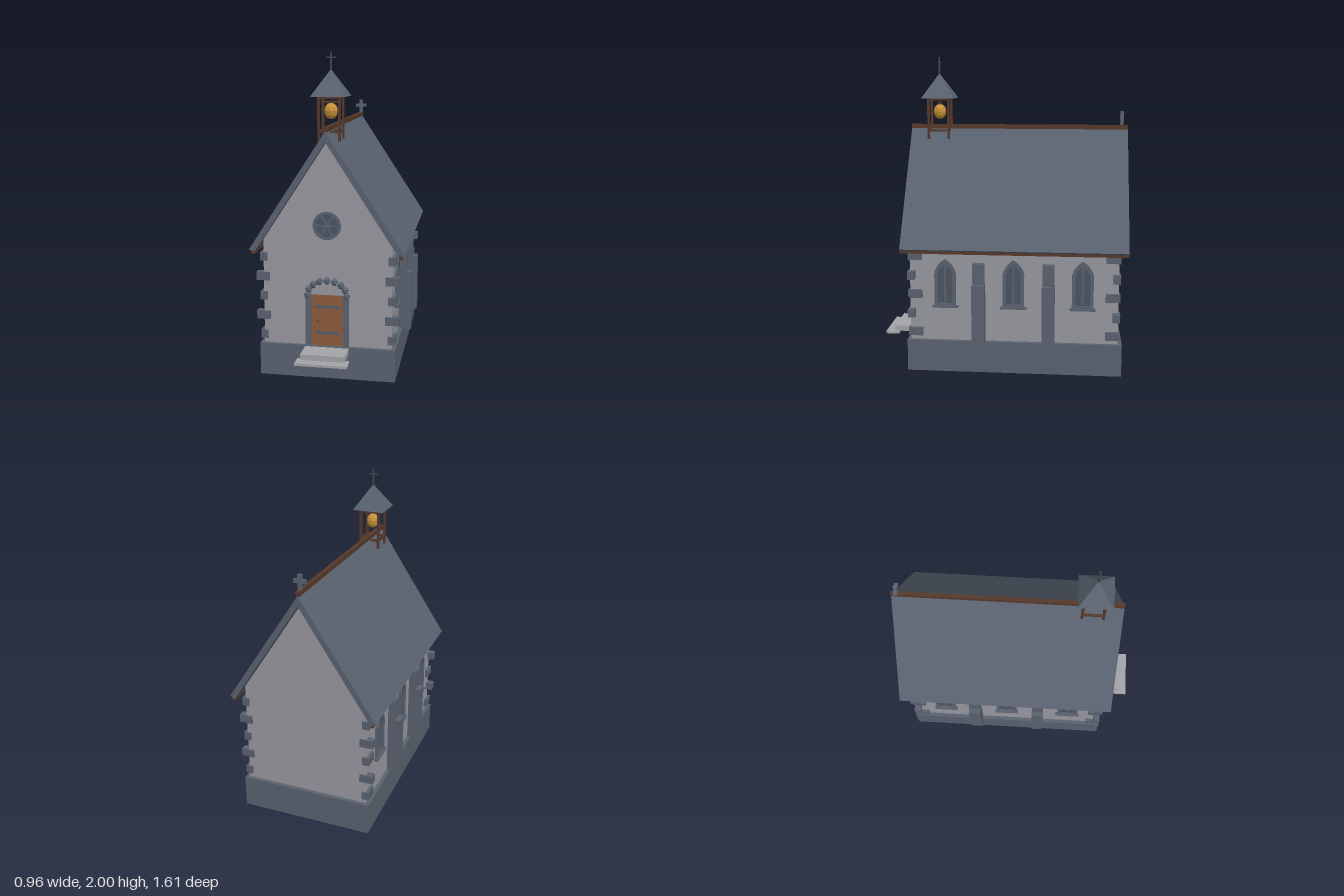
import * as THREE from 'three';

const mat = (name, color, flatShading = false) => {
  const m = new THREE.MeshStandardMaterial({ color, flatShading });
  m.name = name;
  return m;
};

export function createModel() {
  const model = new THREE.Group();
  model.name = 'chapel';

  const slate = mat('slate stone', 0x59626f, true);
  const plaster = mat('wall plaster', 0x97979f);
  const stepStone = mat('step stone', 0xa3a4a8);
  const glass = mat('window glass', 0x4a5361);
  const doorWood = mat('door wood', 0x8b5a3c);
  const darkWood = mat('dark wood', 0x57382b);
  const iron = mat('iron', 0x3f454e);
  const strap = mat('hinge iron', 0x555d6a);
  const gold = mat('bell gold', 0xc8923a, true);

  const add = (name, geo, material, x = 0, y = 0, z = 0, parent = model) => {
    const mesh = new THREE.Mesh(geo, material);
    mesh.name = name;
    mesh.position.set(x, y, z);
    parent.add(mesh);
    return mesh;
  };
  // Box given by its lower and upper limits on each axis
  const box = (name, material, x0, x1, y0, y1, z0, z1, parent = model) =>
    add(name, new THREE.BoxGeometry(x1 - x0, y1 - y0, z1 - z0), material,
      (x0 + x1) / 2, (y0 + y1) / 2, (z0 + z1) / 2, parent);
  const outline = (pts) => new THREE.Shape(pts.map(([x, y]) => new THREE.Vector2(x, y)));
  const extrude = (shape, depth) =>
    new THREE.ExtrudeGeometry(shape, { depth, bevelEnabled: false, curveSegments: 8 });

  // Plinth, gabled body and roof
  box('plinth', slate, -0.425, 0.425, 0, 0.205, -0.77, 0.6);
  add('walls', extrude(outline([[-0.4, 0.2], [0.4, 0.2], [0.4, 0.87], [0, 1.485], [-0.4, 0.87]]), 1.325),
    plaster, 0, 0, -0.745);
  add('roof', extrude(outline([[0, 1.538], [-0.478, 0.81], [-0.448, 0.79], [0, 1.474],
    [0.448, 0.79], [0.478, 0.81]]), 1.43), slate, 0, 0, -0.8);
  box('ridgeBeam', darkWood, -0.012, 0.012, 1.535, 1.563, -0.8, 0.63);
  for (const s of [-1, 1]) {
    box('eaveBoard', darkWood, s * 0.453 - 0.009, s * 0.453 + 0.009, 0.782, 0.805, -0.8, 0.63);
  }

  // Alternating corner stones
  for (const s of [-1, 1]) {
    for (let i = 0; i < 5; i++) {
      const y = 0.26 + i * 0.1245;
      const long = i % 2 === 0;
      const [w, d] = long ? [0.045, 0.09] : [0.085, 0.045];
      const x = s * (long ? 0.3985 : 0.4025);
      for (const z of long ? [0.545, -0.709] : [0.568, -0.732]) {
        add('cornerStone', new THREE.BoxGeometry(w, 0.052, d), slate, x, y, z);
      }
    }
  }

  // Stepped buttresses
  for (const s of [-1, 1]) {
    for (const z of [0.137, -0.305]) {
      const g = new THREE.Group();
      g.name = 'buttress';
      g.position.set(s * 0.39, 0, z);
      add('buttressLower', new THREE.BoxGeometry(0.18, 0.385, 0.08), slate, 0, 0.3925, 0, g);
      add('buttressUpper', new THREE.BoxGeometry(0.116, 0.16, 0.074), slate, 0, 0.637, 0, g);
      model.add(g);
    }
  }

  // Lancet windows, built facing +z and turned onto each side wall
  const lancet = (Type, w, y0, spring, top) => {
    const p = new Type();
    p.moveTo(-w, y0);
    p.lineTo(w, y0);
    p.lineTo(w, spring);
    p.quadraticCurveTo(w * 0.85, (spring + top) / 2 + 0.012, 0, top);
    p.quadraticCurveTo(-w * 0.85, (spring + top) / 2 + 0.012, -w, spring);
    p.closePath();
    return p;
  };
  const frame = lancet(THREE.Shape, 0.068, 0.435, 0.645, 0.738);
  frame.holes.push(lancet(THREE.Path, 0.047, 0.45, 0.64, 0.708));
  const frameGeo = extrude(frame, 0.02);
  const paneGeo = new THREE.ShapeGeometry(lancet(THREE.Shape, 0.05, 0.445, 0.64, 0.71));
  for (const s of [-1, 1]) {
    for (const z of [0.353, -0.083, -0.52]) {
      const g = new THREE.Group();
      g.name = 'window';
      g.position.set(s * 0.4, 0, z);
      g.rotation.y = s * Math.PI / 2;
      add('windowFrame', frameGeo, slate, 0, 0, -0.005, g);
      add('windowPane', paneGeo, glass, 0, 0, 0.003, g);
      box('mullion', slate, -0.007, 0.007, 0.445, 0.7, 0, 0.01, g);
      box('windowSill', slate, -0.082, 0.082, 0.423, 0.437, -0.01, 0.025, g);
      model.add(g);
    }
  }

  // Door with iron straps, jambs and an arch of rough stones
  box('door', doorWood, -0.1, 0.1, 0.2, 0.53, 0.57, 0.585);
  for (const y of [0.29, 0.455]) box('doorStrap', strap, -0.075, 0.075, y - 0.009, y + 0.009, 0.58, 0.59);
  add('doorKnob', new THREE.SphereGeometry(0.01, 8, 6), strap, -0.06, 0.368, 0.589);
  for (const s of [-1, 1]) {
    box('doorJamb', slate, s * 0.118 - 0.018, s * 0.118 + 0.018, 0.2, 0.53, 0.56, 0.592);
  }
  const stoneGeo = new THREE.DodecahedronGeometry(0.024);
  for (let i = 0; i < 9; i++) {
    const a = (i / 8) * Math.PI;
    add('archStone', stoneGeo, slate, 0.122 * Math.cos(a), 0.53 + 0.092 * Math.sin(a), 0.584);
  }

  // Entrance steps
  box('upperStep', stepStone, -0.137, 0.137, 0.163, 0.2, 0.56, 0.745);
  box('lowerStep', stepStone, -0.16, 0.16, 0.15, 0.165, 0.715, 0.805);

  // Round gable window
  const rose = new THREE.Group();
  rose.name = 'roseWindow';
  rose.position.set(0, 0.965, 0.58);
  model.add(rose);
  add('rosePane', new THREE.CircleGeometry(0.08, 20), glass, 0, 0, 0.004, rose);
  const ring = new THREE.Shape().absarc(0, 0, 0.087, 0, Math.PI * 2);
  ring.holes.push(new THREE.Path().absarc(0, 0, 0.072, 0, Math.PI * 2, true));
  add('roseRing', extrude(ring, 0.02), slate, 0, 0, -0.005, rose);
  for (let i = 0; i < 3; i++) {
    add('roseSpoke', new THREE.BoxGeometry(0.15, 0.01, 0.012), slate, 0, 0, 0.005, rose)
      .rotation.z = i * Math.PI / 3;
  }

  // Open bell turret
  const turret = new THREE.Group();
  turret.name = 'bellTurret';
  turret.position.z = 0.44;
  model.add(turret);
  for (const s of [-1, 1]) {
    for (const t of [-1, 1]) {
      add('turretPost', new THREE.BoxGeometry(0.015, 0.265, 0.015), darkWood, s * 0.063, 1.6025, t * 0.066, turret);
    }
    box('turretSideRail', darkWood, s * 0.063 - 0.007, s * 0.063 + 0.007, 1.518, 1.532, -0.066, 0.066, turret);
    box('turretTopRail', darkWood, s * 0.063 - 0.007, s * 0.063 + 0.007, 1.722, 1.736, -0.066, 0.066, turret);
    box('turretCrossRail', darkWood, -0.066, 0.066, 1.722, 1.736, s * 0.066 - 0.007, s * 0.066 + 0.007, turret);
    box('turretFootRail', darkWood, -0.066, 0.066, 1.518, 1.532, s * 0.066 - 0.006, s * 0.066 + 0.006, turret);
  }
  box('bellBeam', darkWood, -0.063, 0.063, 1.695, 1.709, -0.007, 0.007, turret);
  const bell = [[0, 1.598], [0.022, 1.602], [0.036, 1.62], [0.042, 1.648], [0.037, 1.672], [0.02, 1.69], [0, 1.696]];
  add('bell', new THREE.LatheGeometry(bell.map(([r, y]) => new THREE.Vector2(r, y)), 10), gold, 0, 0, 0, turret);
  add('turretRoof', new THREE.ConeGeometry(0.107 * Math.SQRT2, 0.162, 4), slate, 0, 1.816, 0, turret)
    .rotation.y = Math.PI / 4;
  box('spireCrossPost', iron, -0.005, 0.005, 1.885, 2, -0.005, 0.005, turret);
  box('spireCrossArm', iron, -0.03, 0.03, 1.961, 1.971, -0.005, 0.005, turret);

  // Stone cross at the rear of the ridge
  box('ridgeCrossPost', slate, -0.011, 0.011, 1.535, 1.655, -0.771, -0.749);
  box('ridgeCrossArm', slate, -0.038, 0.038, 1.603, 1.625, -0.771, -0.749);

  return model;
}
